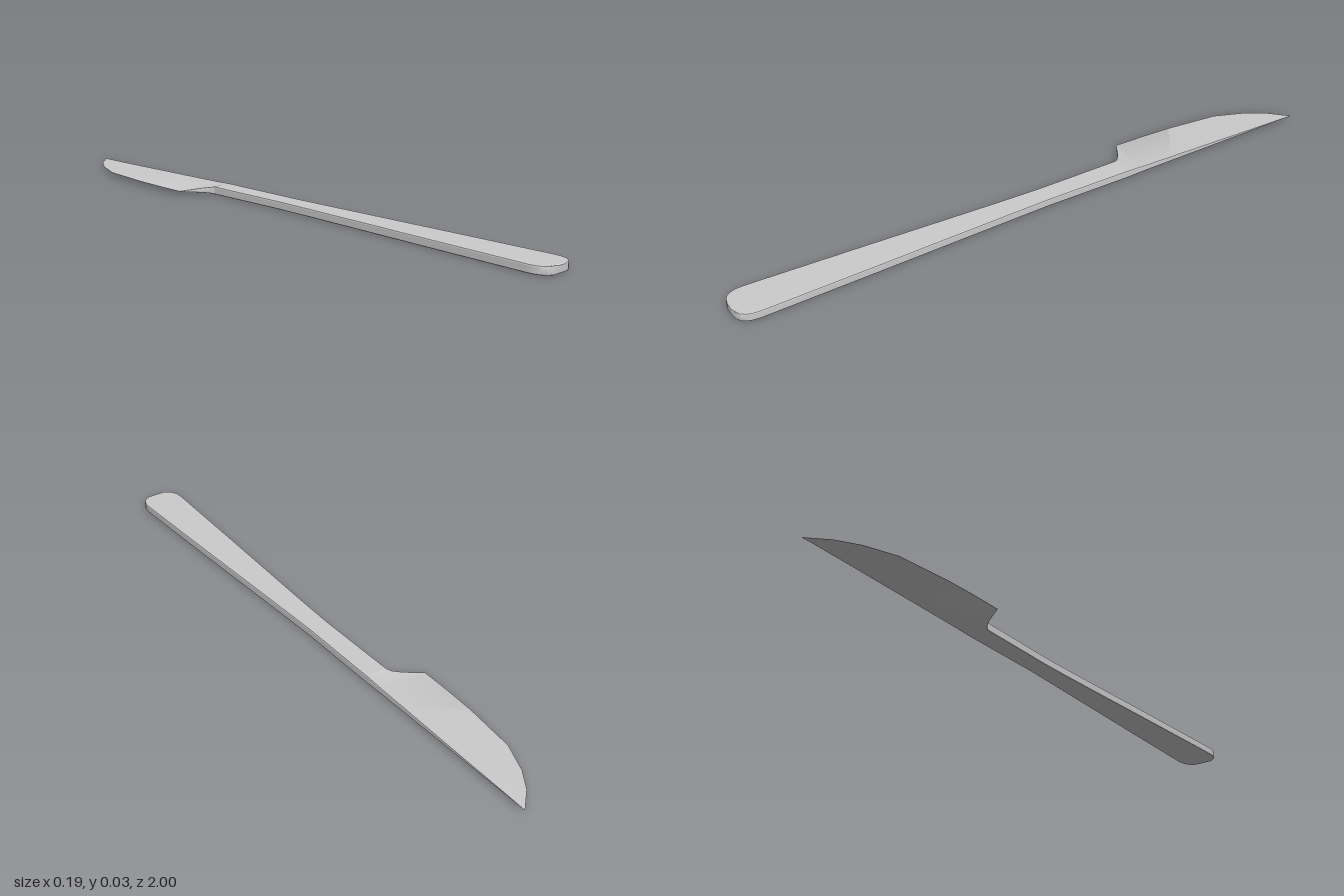
import * as THREE from 'three';
import { toCreasedNormals } from 'three/addons/utils/BufferGeometryUtils.js';

const MID = 0.013; // height of the centre plane

// One cross-section, counter-clockwise seen from +z, with rounded corners.
// Station: [z, x of edge side, x of spine side, half height at edge, half height at spine]
function section([z, xl, xr, hl, hr]) {
  const pts = [];
  const corners = [[xr, hr, 1, -1], [xr, hr, 1, 1], [xl, hl, -1, 1], [xl, hl, -1, -1]];
  corners.forEach(([x, h, sx, sy], k) => {
    const r = Math.min(0.004, h * 0.35, (xr - xl) * 0.2);
    for (let j = 0; j <= 2; j++) {
      const a = (k - 1) * Math.PI / 2 + j * Math.PI / 4;
      pts.push([x - sx * r + r * Math.cos(a), MID + sy * (h - r) + r * Math.sin(a), z]);
    }
  });
  return pts;
}

// Skin over the stations, running from +z to -z
function loft(stations, capFront, capBack) {
  const rings = stations.map(section);
  const n = rings[0].length;
  const index = [];
  for (let s = 0; s < rings.length - 1; s++) {
    for (let i = 0; i < n; i++) {
      const j = (i + 1) % n;
      const a = s * n + i, b = s * n + j, c = b + n, d = a + n;
      index.push(a, d, c, a, c, b);
    }
  }
  const last = (rings.length - 1) * n;
  for (let i = 1; i < n - 1; i++) {
    if (capFront) index.push(0, i, i + 1);
    if (capBack) index.push(last, last + i + 1, last + i);
  }
  const geo = new THREE.BufferGeometry();
  geo.setAttribute('position', new THREE.Float32BufferAttribute(rings.flat(2), 3));
  geo.setIndex(index);
  return toCreasedNormals(geo, 0.35);
}

export function createModel() {
  const group = new THREE.Group();
  group.name = 'knife';
  const material = new THREE.MeshStandardMaterial({ color: 0xcccccc });
  const add = (name, geometry) => {
    const mesh = new THREE.Mesh(geometry, material);
    mesh.name = name;
    group.add(mesh);
  };

  const H = MID;
  const neck = [-0.32, -0.008, 0.063, H, H];

  // Handle: rounded butt, tapering to a slim neck
  add('handle', loft([
    [1.0, 0.012, 0.046, 0.0105, 0.0105],
    [0.996, -0.006, 0.064, H, H],
    [0.988, -0.019, 0.078, H, H],
    [0.975, -0.029, 0.088, H, H],
    [0.958, -0.035, 0.094, H, H],
    [0.935, -0.037, 0.096, H, H],
    [0.6, -0.026, 0.085, H, H],
    [0.3, -0.015, 0.074, H, H],
    [0.1, -0.008, 0.067, H, H],
    [-0.02, -0.005, 0.063, H, H],
    neck,
  ], true, false));

  // Blade: curved heel, thick spine, thin cutting edge sweeping to the point
  add('blade', loft([
    neck,
    [-0.335, -0.016, 0.063, 0.0105, 0.0127],
    [-0.355, -0.04, 0.063, 0.0072, 0.012],
    [-0.375, -0.073, 0.063, 0.0032, 0.011],
    [-0.39, -0.098, 0.063, 0.0005, 0.0105],
    [-0.5, -0.097, 0.063, 0.0005, 0.0085],
    [-0.6, -0.093, 0.063, 0.0005, 0.0068],
    [-0.78, -0.075, 0.063, 0.0005, 0.0036],
    [-0.88, -0.036, 0.063, 0.0005, 0.0021],
    [-0.945, 0.006, 0.063, 0.0005, 0.0012],
    [-1.0, 0.062, 0.064, 0.0005, 0.0005],
  ], false, true));

  return group;
}
